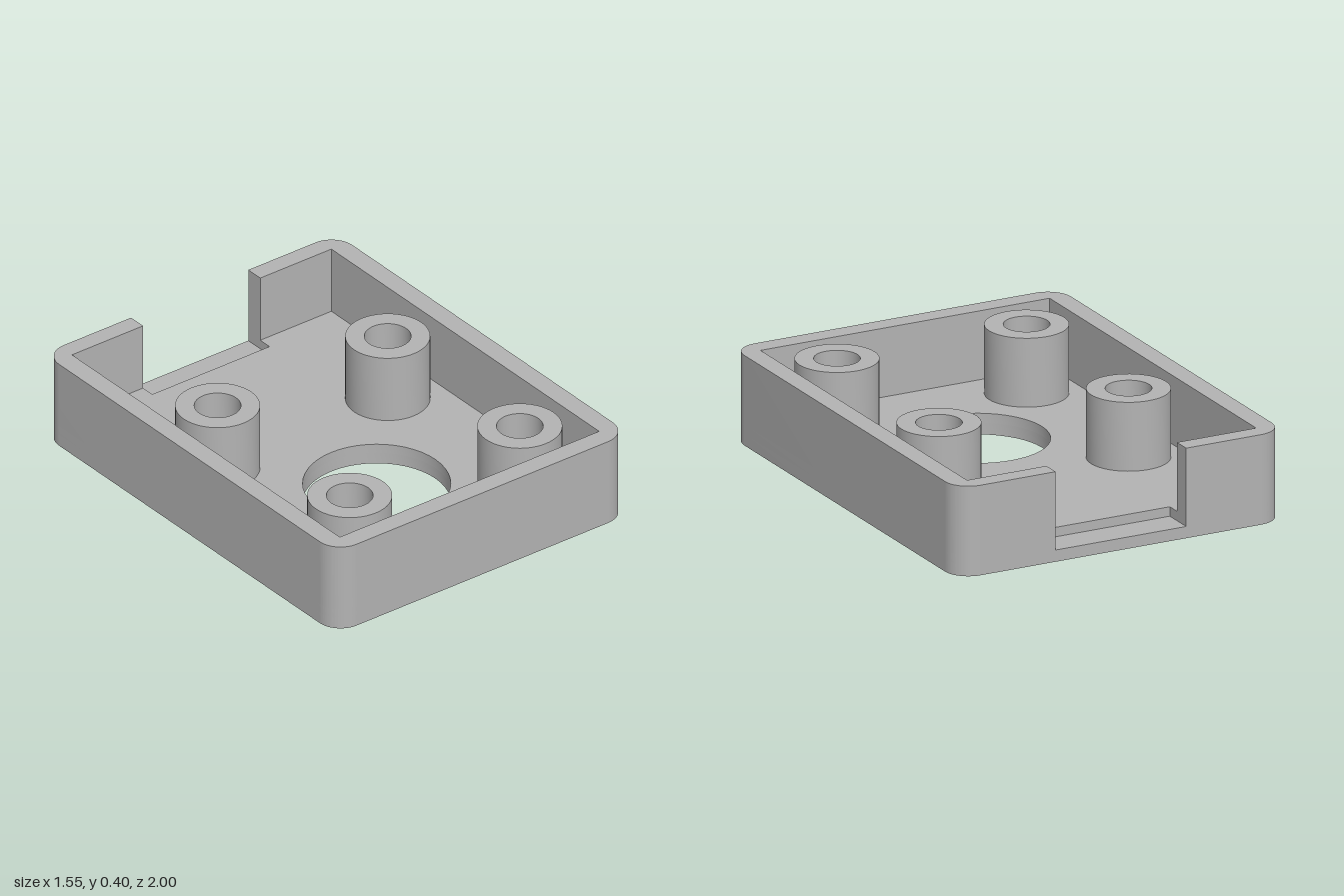
import * as THREE from 'three';
import { mergeGeometries, toCreasedNormals } from 'three/addons/utils/BufferGeometryUtils.js';

const W = 0.775, D = 1, R = 0.11;               // outer half width, half depth, corner radius
const LEDGE = 0.052, FLOOR = 0.094, TOP = 0.4;  // heights
const IN_X = 0.686, BACK = -0.918, FRONT = 0.912;
const NOTCH_X = 0.31, NOTCH_Z = -0.855;
const POST_R = 0.178, BORE_R = 0.098;
const POSTS = [[-0.45, -0.228], [0.45, -0.228], [-0.45, 0.675], [0.45, 0.675]];
const OPENING = [0, 0.278, 0.31];

// Shapes are drawn with shape y = -z
const circle = (x, z, r, Type = THREE.Path) => new Type().absarc(x, -z, r, 0, Math.PI * 2);
const polygon = (pts) => new THREE.Shape(pts.map(([x, z]) => new THREE.Vector2(x, -z)));

// Rounded outline; the back edge may step inward along the given points
function outline(backSteps = []) {
  const s = new THREE.Shape();
  s.moveTo(-W + R, -D);
  s.lineTo(W - R, -D);
  s.absarc(W - R, -D + R, R, -Math.PI / 2, 0);
  s.absarc(W - R, D - R, R, 0, Math.PI / 2);
  for (const [x, z] of backSteps) s.lineTo(x, -z);
  s.absarc(-W + R, D - R, R, Math.PI / 2, Math.PI);
  s.absarc(-W + R, -D + R, R, Math.PI, Math.PI * 1.5);
  return s;
}

// Cut the large opening and a round hole at each post
function withHoles(shape, postRadius) {
  shape.holes.push(circle(...OPENING));
  for (const [x, z] of POSTS) shape.holes.push(circle(x, z, postRadius));
  return shape;
}

// Extrude upward from y0 to y1, keeping only the listed faces
function slab(shape, y0, y1, keep) {
  let g = new THREE.ExtrudeGeometry(shape, { depth: y1 - y0, bevelEnabled: false, curveSegments: 24 });
  g.rotateX(-Math.PI / 2).translate(0, y0, 0);
  if (g.index) g = g.toNonIndexed();
  const p = g.attributes.position.array, n = g.attributes.normal;
  const out = [];
  for (let i = 0; i < n.count; i += 3) {
    const ny = n.getY(i);
    const face = ny > 0.5 ? 'top' : ny < -0.5 ? 'bottom' : 'side';
    if (keep.includes(face)) out.push(...p.slice(i * 3, i * 3 + 9));
  }
  const kept = new THREE.BufferGeometry();
  kept.setAttribute('position', new THREE.Float32BufferAttribute(out, 3));
  return toCreasedNormals(kept, 0.6);
}

export function createModel() {
  const group = new THREE.Group();
  const grey = new THREE.MeshStandardMaterial({ color: 0xb3b3b3 });
  grey.name = 'grey';
  const add = (name, geometry) => {
    const mesh = new THREE.Mesh(geometry, grey);
    mesh.name = name;
    group.add(mesh);
    return mesh;
  };

  // Base: underside, edges, and the recess in its back edge
  const recess = [[NOTCH_X, -D], [NOTCH_X, NOTCH_Z], [-NOTCH_X, NOTCH_Z], [-NOTCH_X, -D]];
  add('base', mergeGeometries([
    slab(withHoles(outline(), BORE_R), 0, LEDGE, ['bottom', 'side']),
    slab(withHoles(outline(recess), BORE_R), LEDGE, FLOOR, ['side']),
  ]));
  add('notchLedge', slab(polygon(recess), 0, LEDGE, ['top']));

  // Floor inside the walls, around the posts
  const floorShape = polygon([
    [-IN_X, FRONT], [IN_X, FRONT], [IN_X, BACK], [NOTCH_X, BACK],
    [NOTCH_X, NOTCH_Z], [-NOTCH_X, NOTCH_Z], [-NOTCH_X, BACK], [-IN_X, BACK],
  ]);
  add('floor', slab(withHoles(floorShape, POST_R), 0, FLOOR, ['top']));

  // Wall, open at the back
  const wall = outline([
    [NOTCH_X, -D], [NOTCH_X, BACK], [IN_X, BACK], [IN_X, FRONT],
    [-IN_X, FRONT], [-IN_X, BACK], [-NOTCH_X, BACK], [-NOTCH_X, -D],
  ]);
  add('wall', slab(wall, FLOOR, TOP, ['top', 'side']));

  // Hollow posts
  const ring = circle(0, 0, POST_R, THREE.Shape);
  ring.holes.push(circle(0, 0, BORE_R));
  const postGeometry = slab(ring, FLOOR, TOP, ['top', 'side']);
  for (const [x, z] of POSTS) add('post', postGeometry).position.set(x, 0, z);

  return group;
}
